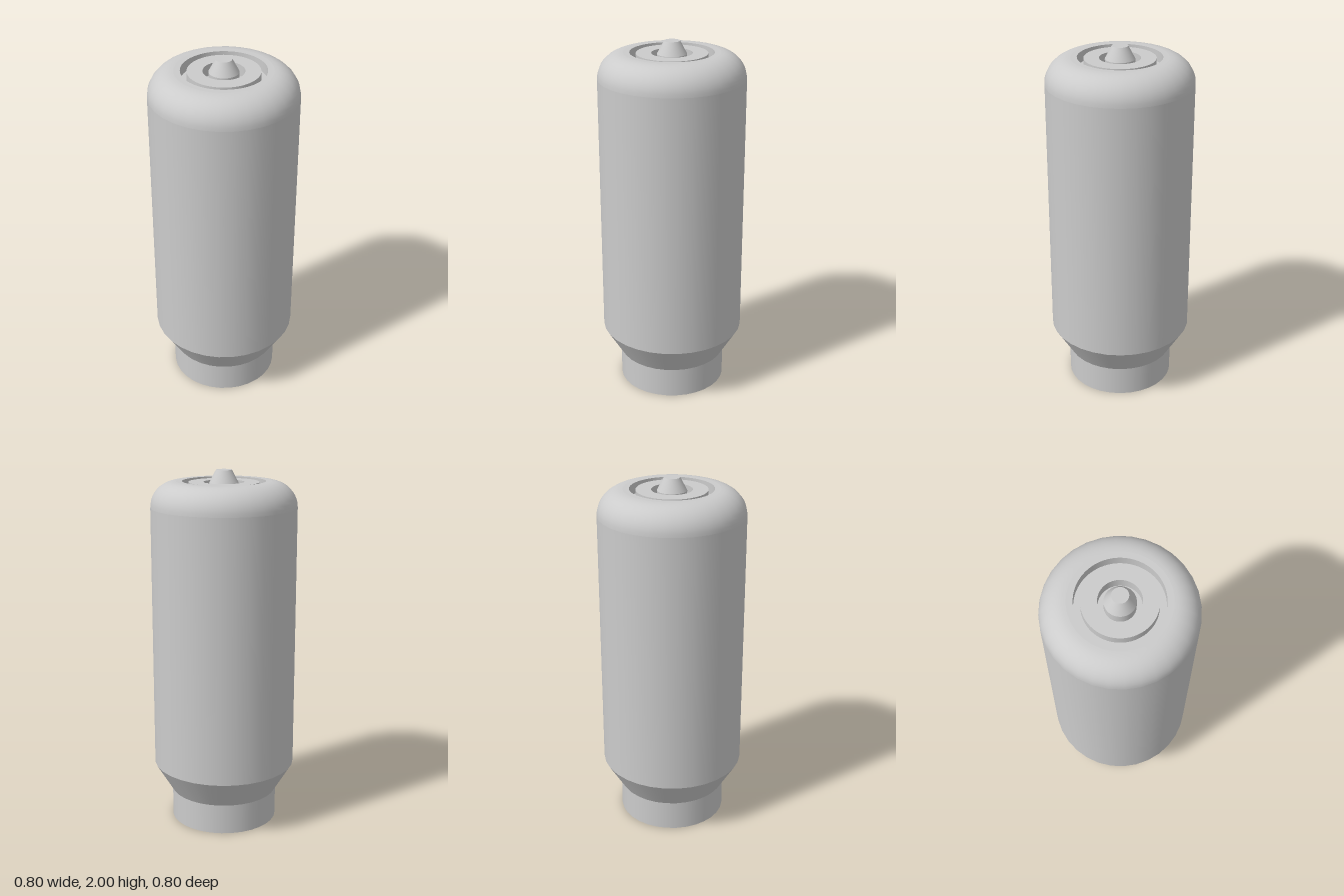
import * as THREE from 'three';
import { mergeGeometries } from 'three/addons/utils/BufferGeometryUtils.js';

const material = new THREE.MeshStandardMaterial({ color: 0xcccccc });
const BODY_SIDES = 32, CORE_SIDES = 64;
const TOP = 1.94, CAP_R = 0.26, CORNER = 0.14, SOCKET_R = 0.226;

// Revolves each run on its own, so edges between runs stay sharp.
function revolve(name, runs, sides) {
  const parts = runs.map(run =>
    new THREE.LatheGeometry(run.map(([r, y]) => new THREE.Vector2(r, y)), sides));
  const mesh = new THREE.Mesh(mergeGeometries(parts), material);
  mesh.name = name;
  return mesh;
}

// Splits a profile into straight runs, one per pair of points.
const straight = points => points.slice(1).map((p, i) => [points[i], p]);

export function createModel() {
  const group = new THREE.Group();
  group.name = 'canister';

  // Foot, flared shoulder and straight wall
  group.add(revolve('body', straight([
    [0, 0], [0.3, 0], [0.3, 0.17], [0.4, 0.335], [0.4, TOP - CORNER],
  ]), BODY_SIDES));

  // Rounded upper edge
  const arc = [];
  for (let i = 0; i <= 12; i++) {
    const a = (i / 12) * Math.PI / 2;
    arc.push([CAP_R + CORNER * Math.cos(a), TOP - CORNER + CORNER * Math.sin(a)]);
  }
  group.add(revolve('roundedEdge', [arc], BODY_SIDES));

  // Flat rim joining the coarse body to the fine round socket
  const circle = (r, n) => Array.from({ length: n }, (_, i) => {
    const a = (i / n) * Math.PI * 2;
    return new THREE.Vector2(r * Math.cos(a), r * Math.sin(a));
  });
  const rimShape = new THREE.Shape(circle(CAP_R, BODY_SIDES));
  rimShape.holes.push(new THREE.Path(circle(SOCKET_R, CORE_SIDES)));
  const rim = new THREE.Mesh(new THREE.ShapeGeometry(rimShape), material);
  rim.name = 'topRim';
  rim.rotation.x = -Math.PI / 2;
  rim.position.y = TOP;
  group.add(rim);

  // Groove around the valve cup
  group.add(revolve('groove', straight([
    [SOCKET_R, TOP], [SOCKET_R, 1.88], [0.192, 1.88],
  ]), CORE_SIDES));

  // Raised ring with a central recess
  group.add(revolve('valveRing', straight([
    [0.192, 1.88], [0.192, 1.935], [0.11, 1.935], [0.11, 1.87], [0.08, 1.87],
  ]), CORE_SIDES));

  // Tapered nozzle
  group.add(revolve('nozzle', straight([
    [0.08, 1.87], [0.08, 1.93], [0.043, 2], [0, 2],
  ]), CORE_SIDES));

  return group;
}
